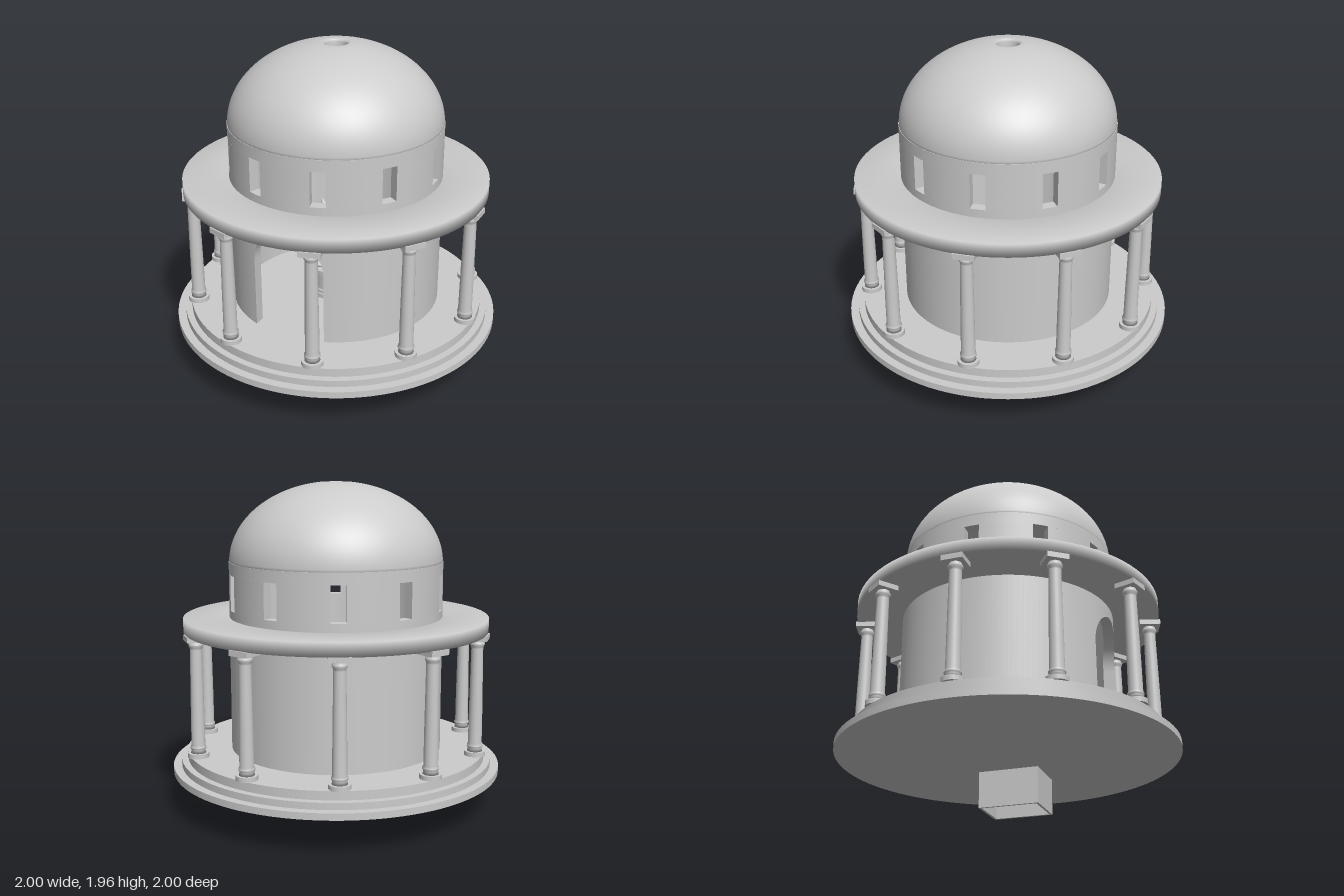
import * as THREE from 'three';

const material = new THREE.MeshStandardMaterial({ color: 0xcccccc });
const R_OUT = 0.643, R_IN = 0.58, BAYS = 10, STEP = (Math.PI * 2) / BAYS;
const DOOR = 0.225, SPRING = 0.785, WINDOW = 0.045;

function add(parent, name, geometry, x = 0, y = 0, z = 0) {
  const mesh = new THREE.Mesh(geometry, material);
  mesh.name = name;
  mesh.position.set(x, y, z);
  parent.add(mesh);
  return mesh;
}

const lathe = (points, segments = 96) =>
  new THREE.LatheGeometry(points.map(([r, y]) => new THREE.Vector2(r, y)), segments);

function disc(parent, name, radius, y0, y1, segments = 96) {
  return add(parent, name, new THREE.CylinderGeometry(radius, radius, y1 - y0, segments), 0, (y0 + y1) / 2, 0);
}

// Curved wall block: a box bent round the axis. angle(u, r) and low(u) take u from -0.5 to 0.5.
function wall(parent, name, angle, low, high, segments) {
  const geometry = new THREE.BoxGeometry(1, 1, 1, segments, 1, 1);
  const p = geometry.attributes.position;
  for (let i = 0; i < p.count; i++) {
    const u = p.getX(i), r = p.getZ(i) > 0 ? R_OUT : R_IN, a = angle(u, r);
    p.setXYZ(i, r * Math.sin(a), p.getY(i) > 0 ? high : low(u), r * Math.cos(a));
  }
  geometry.computeVertexNormals();
  return add(parent, name, geometry);
}

function buildDrum() {
  const drum = new THREE.Group();
  drum.name = 'drum';
  // lower wall, open at the front for the doorway
  wall(drum, 'lowerWall', (u, r) => Math.PI + 2 * u * (Math.PI - Math.asin(DOOR / r)), () => 0.35, 1.21, 120);
  // arched piece over the doorway
  const doorX = (u) => DOOR * Math.sin(Math.PI * u);
  wall(drum, 'doorArch', (u, r) => Math.asin(doorX(u) / r),
    (u) => SPRING + DOOR * Math.cos(Math.PI * u), 1.21, 32);
  // piers between the windows
  for (let i = 0; i < BAYS; i++) {
    wall(drum, 'windowPier', (u, r) => i * STEP + 2 * u * (STEP / 2 - Math.asin(WINDOW / r)), () => 1.21, 1.42, 10);
  }
  wall(drum, 'upperWall', (u) => 2 * Math.PI * u, () => 1.42, 1.49, 120);
  return drum;
}

// Shell with a round opening at the top
function buildDome(parent) {
  const points = [[R_IN, 1.485], [0.63, 1.48], [0.64, 1.487]];
  const start = 0.04, end = Math.acos(0.085 / 0.64), n = 28;
  for (let i = 0; i <= n; i++) {
    const t = start + ((end - start) * i) / n;
    points.push([0.64 * Math.cos(t), 1.485 + 0.477 * Math.sin(t)]);
  }
  points.push([0.07, 1.953], [0.064, 1.94], [0.064, 1.9]);
  const inner = Math.acos(0.064 / R_IN);
  for (let i = n; i >= 0; i--) {
    const t = (inner * i) / n;
    points.push([R_IN * Math.cos(t), 1.485 + 0.415 * Math.sin(t)]);
  }
  add(parent, 'dome', lathe(points));
}

function buildColumn() {
  const column = new THREE.Group();
  column.name = 'column';
  disc(column, 'columnBase', 0.063, 0.35, 0.378, 24);
  add(column, 'columnShaft', lathe([
    [0, 0.375], [0.045, 0.378], [0.04, 0.398], [0.047, 0.405], [0.047, 0.415], [0.041, 0.425],
    [0.04, 0.6], [0.035, 1.0], [0.036, 1.01], [0.043, 1.022], [0.043, 1.034], [0.036, 1.04], [0.036, 1.055],
  ], 24));
  add(column, 'columnCap', new THREE.BoxGeometry(0.125, 0.032, 0.125), 0, 1.066, 0);
  return column;
}

function blob(parent, name, pos, size, tilt = 0) {
  const mesh = add(parent, name, new THREE.SphereGeometry(1, 24, 16), ...pos);
  mesh.scale.set(...size);
  mesh.rotation.z = tilt;
  return mesh;
}

// Seated guardian animal on a round pedestal
function buildStatue() {
  const statue = new THREE.Group();
  statue.name = 'statue';
  disc(statue, 'pedestalFoot', 0.165, 0.35, 0.38, 48);
  disc(statue, 'pedestalStep', 0.155, 0.38, 0.4, 48);
  disc(statue, 'pedestalBody', 0.143, 0.4, 0.51, 48);
  disc(statue, 'pedestalTop', 0.165, 0.51, 0.54, 48);

  blob(statue, 'rump', [0, 0.63, -0.05], [0.12, 0.09, 0.09]);
  blob(statue, 'torso', [0, 0.71, -0.01], [0.085, 0.14, 0.075]).rotation.x = 0.2;
  blob(statue, 'chest', [0, 0.76, 0.03], [0.075, 0.07, 0.055]);
  blob(statue, 'head', [0, 0.885, 0.03], [0.088, 0.08, 0.075]);
  blob(statue, 'muzzle', [0, 0.862, 0.09], [0.052, 0.034, 0.04]);
  blob(statue, 'jaw', [0, 0.822, 0.075], [0.058, 0.018, 0.04]);
  blob(statue, 'nose', [0, 0.89, 0.12], [0.022, 0.014, 0.014]);
  const tail = new THREE.CatmullRomCurve3([
    new THREE.Vector3(0, 0.56, -0.11), new THREE.Vector3(0, 0.62, -0.15), new THREE.Vector3(0, 0.72, -0.12),
  ]);
  add(statue, 'tail', new THREE.TubeGeometry(tail, 16, 0.022, 10));
  for (const s of [-1, 1]) {
    const leg = new THREE.CatmullRomCurve3([
      new THREE.Vector3(s * 0.065, 0.78, 0.04), new THREE.Vector3(s * 0.07, 0.67, 0.065),
      new THREE.Vector3(s * 0.055, 0.56, 0.075),
    ]);
    add(statue, 'frontLeg', new THREE.TubeGeometry(leg, 16, 0.03, 12));
    blob(statue, 'shoulder', [s * 0.068, 0.75, 0.04], [0.037, 0.065, 0.04]);
    blob(statue, 'frontPaw', [s * 0.055, 0.56, 0.095], [0.036, 0.022, 0.042]);
    blob(statue, 'haunch', [s * 0.11, 0.62, -0.01], [0.043, 0.075, 0.075]);
    blob(statue, 'hindPaw', [s * 0.125, 0.56, 0.055], [0.034, 0.02, 0.045]);
    blob(statue, 'brow', [s * 0.038, 0.925, 0.083], [0.035, 0.016, 0.022], s * 0.3);
    blob(statue, 'eye', [s * 0.038, 0.903, 0.09], [0.017, 0.015, 0.015]);
    const ear = add(statue, 'ear', new THREE.ConeGeometry(0.032, 0.075, 12), s * 0.078, 0.94, 0.02);
    ear.rotation.z = -s * 0.3;
    ear.scale.z = 0.6;
    for (let i = 0; i < 2; i++) {
      const tuft = add(statue, 'cheekTuft', new THREE.ConeGeometry(0.03, 0.09, 12), s * (0.1 - i * 0.015), 0.855 - i * 0.02, 0.035);
      tuft.rotation.z = -s * (2.1 + i * 0.3);
    }
  }
  return statue;
}

export function createModel() {
  const model = new THREE.Group();
  model.name = 'roundTemple';

  // stepped floor
  disc(model, 'lowerStep', 1, 0.22, 0.26);
  disc(model, 'middleStep', 0.95, 0.26, 0.3);
  disc(model, 'floor', 0.91, 0.3, 0.352);

  // hollow square shaft below the floor
  const rect = (path, w, h) => {
    path.moveTo(-w, -h).lineTo(w, -h).lineTo(w, h).lineTo(-w, h).closePath();
    return path;
  };
  const outline = rect(new THREE.Shape(), 0.145, 0.185);
  outline.holes.push(rect(new THREE.Path(), 0.13, 0.17));
  const shaft = new THREE.ExtrudeGeometry(outline, { depth: 0.22, bevelEnabled: false }).rotateX(-Math.PI / 2);
  add(model, 'undergroundShaft', shaft, 0.335, 0, -0.065);

  model.add(buildDrum());
  buildDome(model);

  // flat porch roof ring
  add(model, 'porchRoof', lathe([[0.62, 1.08], [0.92, 1.08], [0.92, 1.16], [0.62, 1.16], [0.62, 1.08]]));

  // ring of columns, none in front of the door
  for (let i = 0; i < BAYS; i++) {
    const column = buildColumn();
    const a = (i + 0.5) * STEP;
    column.position.set(0.865 * Math.sin(a), 0, 0.865 * Math.cos(a));
    column.rotation.y = a;
    model.add(column);
  }

  model.add(buildStatue());
  return model;
}
